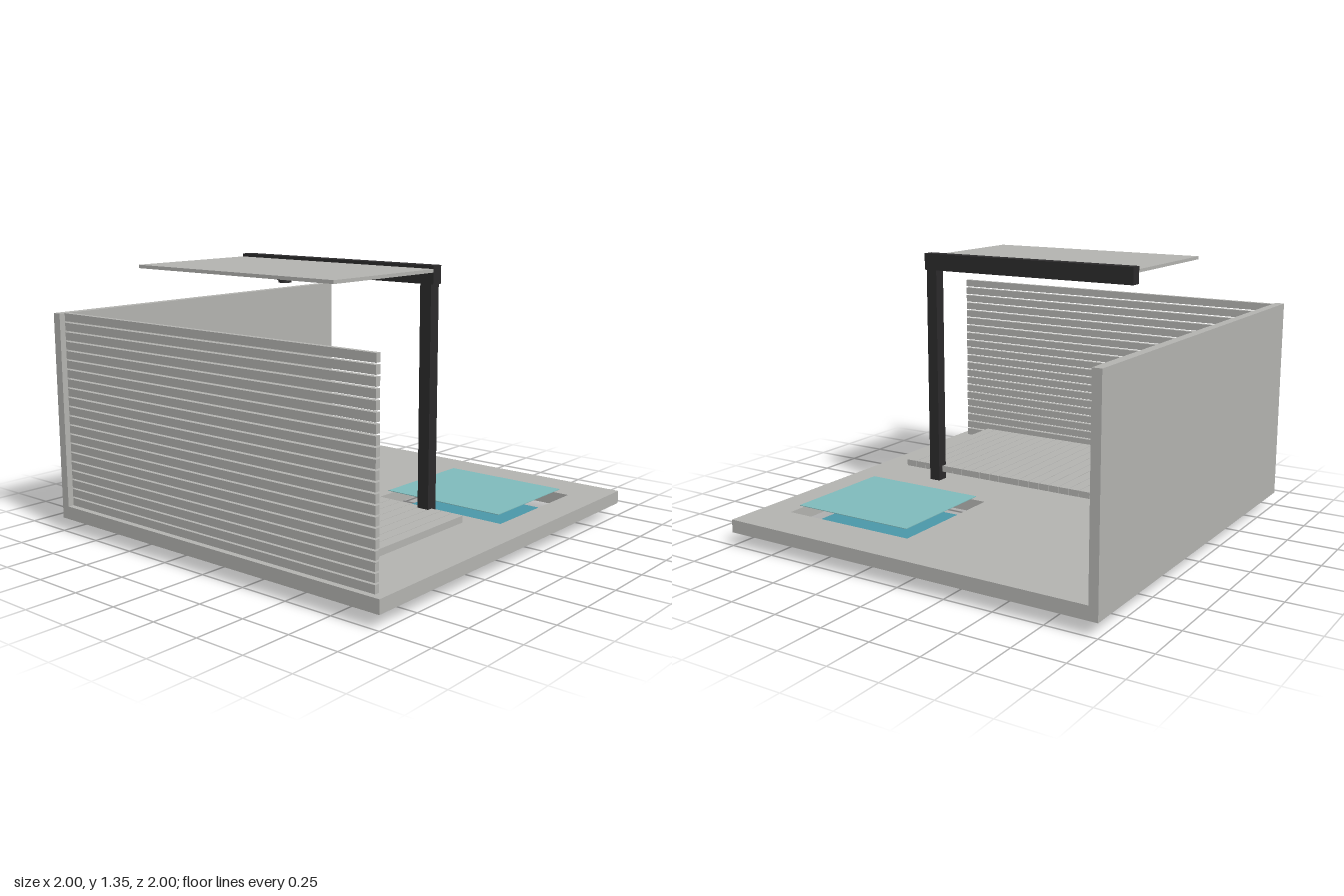
import * as THREE from 'three';

const mat = (name, color) => {
  const m = new THREE.MeshStandardMaterial({ color });
  m.name = name;
  return m;
};

export function createModel() {
  const concrete = mat('concrete grey', 0xb3b3b0);
  const steel = mat('dark steel', 0x2b2a2b);
  const tile = mat('pool tile blue', 0x4a97a8);
  const waterBlue = mat('water blue', 0x7fbabb);

  const model = new THREE.Group();
  model.name = 'patio';

  const add = (parent, name, geometry, material) => {
    const mesh = new THREE.Mesh(geometry, material);
    mesh.name = name;
    parent.add(mesh);
    return mesh;
  };
  // Box given by its limits on each axis
  const box = (parent, name, material, [x0, x1], [y0, y1], [z0, z1]) =>
    add(parent, name, new THREE.BoxGeometry(x1 - x0, y1 - y0, z1 - z0), material)
      .position.set((x0 + x1) / 2, (y0 + y1) / 2, (z0 + z1) / 2);
  const group = (name) => {
    const g = new THREE.Group();
    g.name = name;
    model.add(g);
    return g;
  };

  // Ground slab with an opening for the pool (shape y is -z)
  const rect = (path, x0, x1, y0, y1) =>
    path.moveTo(x0, y0).lineTo(x1, y0).lineTo(x1, y1).lineTo(x0, y1).closePath();
  const slab = new THREE.Shape();
  rect(slab, -1, 1, -1, 1);
  const opening = new THREE.Path();
  rect(opening, 0.12, 0.838, 0.125, 0.765);
  slab.holes.push(opening);
  const slabGeometry = new THREE.ExtrudeGeometry(slab, { depth: 0.065, bevelEnabled: false });
  slabGeometry.rotateX(-Math.PI / 2).translate(0, 0.067, 0);
  add(model, 'groundSlab', slabGeometry, concrete);

  // Pool floor below the opening and water sheet above it
  box(model, 'poolFloor', tile, [0.12, 0.838], [0, 0.033], [-0.765, -0.125]);
  box(model, 'water', waterBlue, [0.15, 0.806], [0.162, 0.165], [-0.733, -0.155]);

  // Solid side wall
  box(model, 'sideWall', concrete, [-1, -0.955], [0.132, 1.09], [-1, 1]);

  // Slatted front fence
  const fence = group('fence');
  const slatCount = 21, slatHeight = 0.038;
  const slatPitch = (1.09 - 0.132 - slatHeight) / (slatCount - 1);
  for (let i = 0; i < slatCount; i++) {
    const y = 0.132 + i * slatPitch;
    box(fence, 'fenceSlat', concrete, [-0.955, 0.955], [y, y + slatHeight], [0.945, 0.97]);
  }

  // Raised deck of planks
  const deck = group('deck');
  for (let i = 0; i < 22; i++) {
    const x = -0.547 + i * 0.0597;
    box(deck, 'deckPlank', concrete, [x, x + 0.057], [0.174, 0.207], [0.083, 0.88]);
  }

  // Cantilevered canopy: post, beam and roof sheet
  const canopy = group('canopy');
  box(canopy, 'post', steel, [0.528, 0.588], [0.132, 1.26], [0.052, 0.112]);
  box(canopy, 'beam', steel, [-0.6, 0.6], [1.26, 1.345], [0.052, 0.112]);
  box(canopy, 'roof', concrete, [-0.6, 0.6], [1.314, 1.33], [0.112, 0.8]);

  // Round lamp hanging under the roof
  const lamp = group('lamp');
  lamp.position.set(0, 1.27, 0.442);
  add(lamp, 'lampCap', new THREE.CylinderGeometry(0.036, 0.036, 0.014, 24), steel).position.y = 0.006;
  add(lamp, 'lampBody', new THREE.CylinderGeometry(0.03, 0.03, 0.012, 24), steel).position.y = -0.006;

  return model;
}
